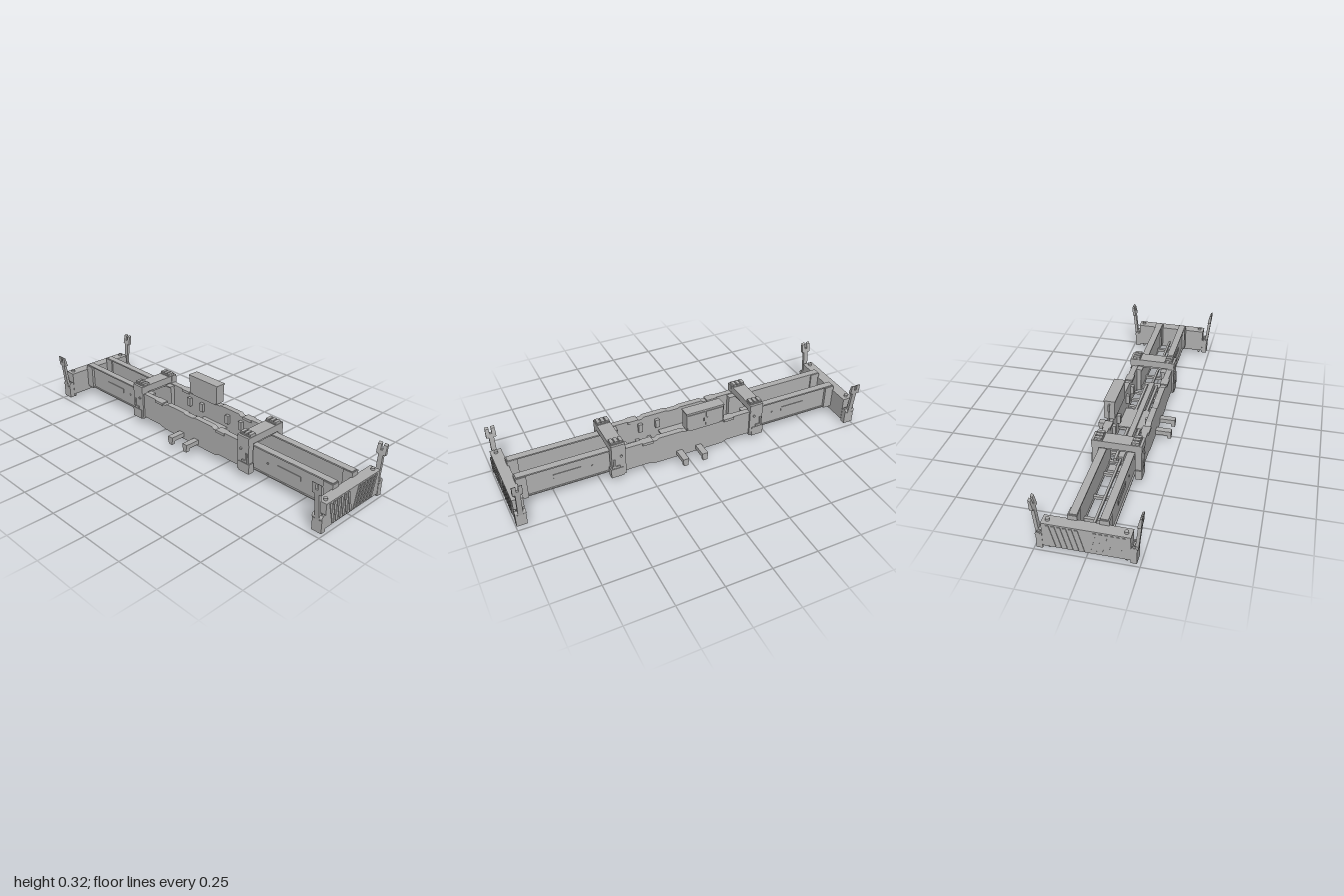
import * as THREE from 'three';

export function createModel() {
  const model = new THREE.Group();
  const steel = new THREE.MeshStandardMaterial({ color: 0xb0b0b0 });
  steel.name = 'grey steel';

  const add = (name, geo) => {
    const m = new THREE.Mesh(geo, steel);
    m.name = name;
    model.add(m);
    return m;
  };
  // box given by its two extents on every axis, in any order
  const box = (name, x0, x1, y0, y1, z0, z1) => {
    const m = add(name, new THREE.BoxGeometry(Math.abs(x1 - x0), Math.abs(y1 - y0), Math.abs(z1 - z0)));
    m.position.set((x0 + x1) / 2, (y0 + y1) / 2, (z0 + z1) / 2);
    return m;
  };
  const rod = (name, r, h, x, y, z, axis = 'y', sides = 16) => {
    const geo = new THREE.CylinderGeometry(r, r, h, sides);
    if (axis === 'x') geo.rotateZ(Math.PI / 2);
    if (axis === 'z') geo.rotateX(Math.PI / 2);
    add(name, geo).position.set(x, y, z);
  };
  const prism = (pts, depth) => new THREE.ExtrudeGeometry(
    new THREE.Shape(pts.map(p => new THREE.Vector2(...p))), { depth, bevelEnabled: false });
  // outline in (z, y), extruded along x and centred on x
  const sidePrism = (name, pts, x, width) => {
    const geo = prism(pts.map(([z, y]) => [-z, y]), width);
    geo.rotateY(Math.PI / 2);
    add(name, geo.translate(x - width / 2, 0, 0));
  };

  // main beam side outline, right half then mirrored
  const top = [[0.42, 0.2], [0.25, 0.2], [0.235, 0.193], [0.19, 0.193], [0.175, 0.203], [0.04, 0.203], [0.03, 0.197]];
  const bottom = [[0.03, 0.043], [0.2, 0.043], [0.235, 0.055], [0.42, 0.055]];
  const flip = pts => pts.map(([x, y]) => [-x, y]).reverse();
  const outline = [...bottom, ...top, ...flip(top), ...flip(bottom)];

  for (const s of [1, -1]) {
    add('mainBeam', prism(outline, 0.032).translate(0, 0, s > 0 ? 0.086 : -0.118));
    box('centreRail', -0.37, 0.37, 0.065, 0.085, s * 0.024, s * 0.038);
    for (const x of [-0.24, 0.24]) box('beamLug', x - 0.03, x + 0.03, 0.185, 0.2, s * 0.08, s * 0.124);
    for (const x of [-0.2, -0.1, 0.1, 0.2]) box('hoseClamp', x - 0.012, x + 0.012, 0.12, 0.17, s * 0.068, s * 0.087);

    // cross arms with hooked ends below the centre
    const ax = s * 0.057;
    box('crossArm', ax - 0.017, ax + 0.017, 0.055, 0.08, -0.203, 0.203);
    for (const z of [-0.192, 0.192]) box('armFoot', ax - 0.013, ax + 0.013, 0.036, 0.056, z - 0.011, z + 0.011);

    // telescopic beams
    for (const t of [1, -1]) {
      box('slidingBeam', s * 0.34, s * 0.94, 0.061, 0.187, t * 0.06, t * 0.084);
      box('slidingBeamTopFlange', s * 0.34, s * 0.94, 0.187, 0.195, t * 0.054, t * 0.092);
      box('slidingBeamBottomFlange', s * 0.34, s * 0.94, 0.055, 0.061, t * 0.054, t * 0.092);
      box('beamEndSleeve', s * 0.89, s * 0.945, 0.052, 0.19, t * 0.052, t * 0.098);
      box('markerPlate', s * 0.6, s * 0.75, 0.115, 0.14, t * 0.084, t * 0.087);
      rod('beamBolt', 0.005, 0.006, s * 0.54, 0.125, t * 0.086, 'z');
    }

    // cross ties and sliding pads between the beams
    for (const x of [0.48, 0.66, 0.82]) box('crossTie', s * (x - 0.008), s * (x + 0.008), 0.058, 0.075, -0.062, 0.062);
    for (const x of [0.15, 0.22, 0.3, 0.37]) box('innerCrossTie', s * (x - 0.01), s * (x + 0.01), 0.056, 0.068, -0.087, 0.087);

    // yoke that clasps the beams
    box('yokeTop', s * 0.372, s * 0.448, 0.203, 0.243, -0.13, 0.13);
    box('yokeWearBar', s * 0.38, s * 0.44, 0.19, 0.203, -0.117, 0.117);
    box('yokeBottom', s * 0.385, s * 0.435, 0.043, 0.056, -0.12, 0.12);
    for (const t of [1, -1]) {
      box('yokeLeg', s * 0.37, s * 0.448, 0.045, 0.243, t * 0.094, t * 0.128);
      box('yokeLegFoot', s * 0.385, s * 0.455, 0.04, 0.095, t * 0.096, t * 0.131);
      box('yokeTopPad', s * 0.375, s * 0.445, 0.243, 0.249, t * 0.073, t * 0.117);
      for (const x of [0.385, 0.41, 0.435]) box('yokePadBolt', s * (x - 0.009), s * (x + 0.009), 0.249, 0.258, t * 0.076, t * 0.114);
      box('yokeLatch', s * 0.405, s * 0.44, 0.1, 0.112, t * 0.128, t * 0.134);
      box('yokeLatch', s * 0.43, s * 0.44, 0.112, 0.155, t * 0.128, t * 0.134);
      rod('yokePin', 0.007, 0.008, s * 0.395, 0.17, t * 0.13, 'z');
    }

    // end beam
    box('endBeam', s * 0.94, s * 0.996, 0.03, 0.162, -0.207, 0.207);
    box('endBeamCap', s * 0.938, s * 0.998, 0.16, 0.165, -0.209, 0.209);
    // slanting strips on the outer face
    for (const t of [1, -1]) for (let i = 0; i < 6; i++) {
      const z = 0.006 + i * 0.027, pts = [[z, 0.036], [z + 0.014, 0.036], [z + 0.044, 0.155], [z + 0.03, 0.155]];
      sidePrism('warningStrip', pts.map(([a, b]) => [t * a, b]), s * 0.9975, 0.004);
    }

    for (const t of [1, -1]) {
      // corner lock
      rod('lockCap', 0.01, 0.012, s * 0.97, 0.171, t * 0.183);
      rod('lockCollar', 0.012, 0.012, s * 0.97, 0.026, t * 0.183);
      rod('lockShaft', 0.007, 0.02, s * 0.97, 0.015, t * 0.183);
      const tip = add('lockTip', new THREE.CylinderGeometry(0.008, 0.004, 0.008, 12));
      tip.position.set(s * 0.97, 0.004, t * 0.183);

      // hinged corner guide
      const gx = s * 0.97;
      const mirror = pts => pts.map(([z, y]) => [t * z, y]);
      for (const d of [-0.023, 0.023]) sidePrism('guideBracket', mirror(
        [[0.205, 0.015], [0.235, 0.015], [0.235, 0.1], [0.228, 0.111], [0.215, 0.111], [0.205, 0.1]]), gx + d, 0.01);
      box('guideBlock', gx - 0.02, gx + 0.02, 0.015, 0.082, t * 0.207, t * 0.235);
      rod('guideHinge', 0.013, 0.058, gx, 0.094, t * 0.225, 'x', 20);
      sidePrism('guideArm', mirror(
        [[0.214, 0.085], [0.238, 0.084], [0.254, 0.232], [0.238, 0.235], [0.225, 0.113], [0.214, 0.11]]), gx, 0.026);
      sidePrism('guideHead', mirror([[0.236, 0.228], [0.254, 0.228], [0.256, 0.25], [0.24, 0.25]]), gx, 0.052);
      for (const d of [-0.016, 0.016]) sidePrism('guideFinger', mirror(
        [[0.24, 0.25], [0.256, 0.25], [0.258, 0.285], [0.247, 0.277]]), gx + d, 0.02);
    }
  }

  // extension drive along the centre line
  box('centreRodRail', -0.9, 0.9, 0.075, 0.09, -0.006, 0.006);
  box('centreDriveHousing', -0.37, 0.37, 0.065, 0.1, -0.015, 0.015);
  box('centrePlate', -0.09, 0.09, 0.08, 0.088, -0.087, 0.087);

  // control cabinet
  box('cabinetBody', -0.197, 0.018, 0.205, 0.31, -0.13, -0.075);
  box('cabinetLid', -0.201, 0.022, 0.309, 0.316, -0.134, -0.072);
  box('cabinetBase', -0.18, 0.0, 0.195, 0.207, -0.125, -0.08);
  for (const x of [-0.143, -0.036]) box('cabinetDoor', x - 0.05, x + 0.05, 0.212, 0.302, -0.134, -0.13);
  for (const x of [-0.1, -0.08]) box('doorHandle', x - 0.003, x + 0.003, 0.245, 0.265, -0.138, -0.134);
  box('cabinetConduit', -0.213, -0.207, 0.2, 0.297, -0.108, -0.1);
  box('cabinetConduitElbow', -0.213, -0.195, 0.291, 0.297, -0.108, -0.1);
  return model;
}
